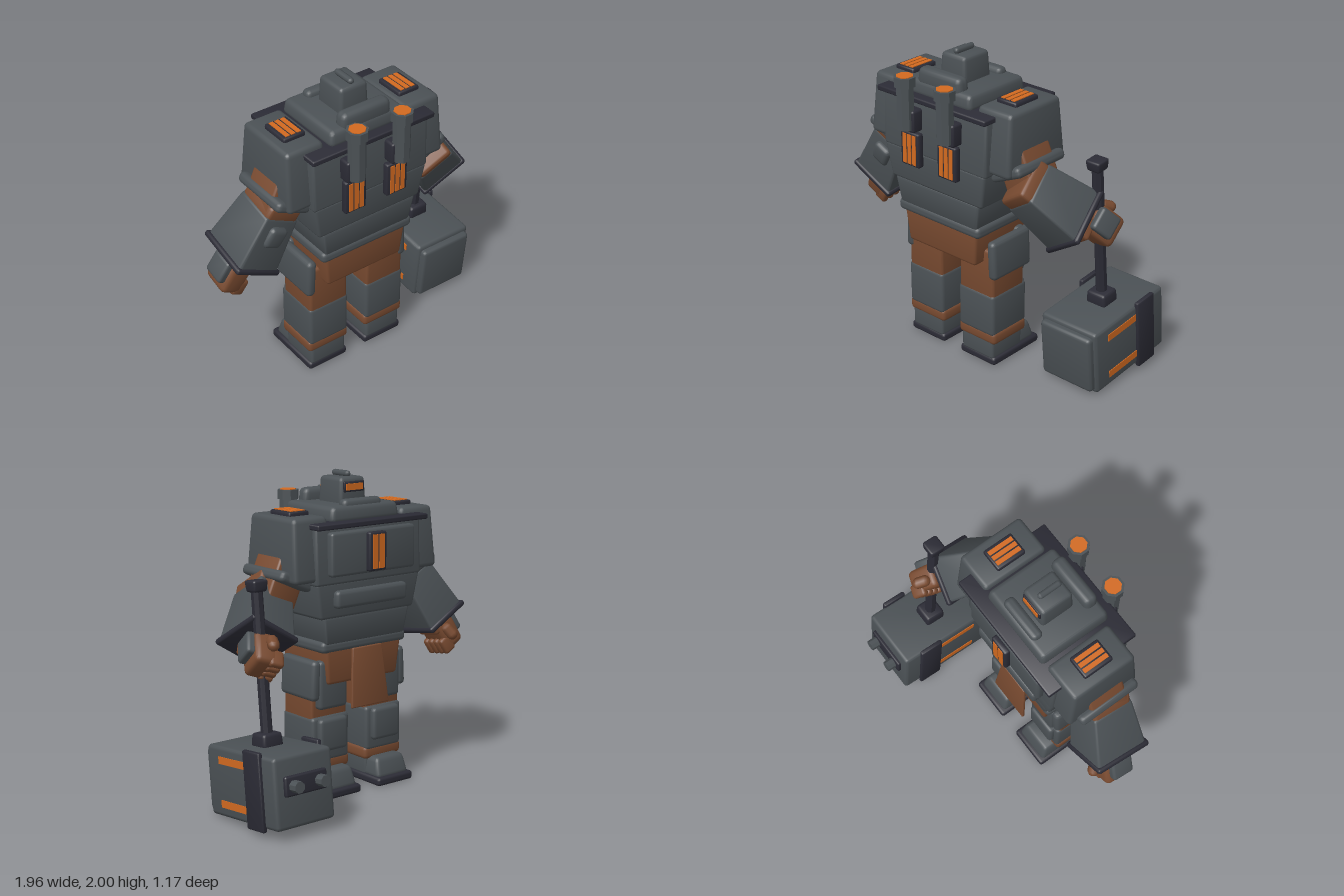
import * as THREE from 'three';
import { RoundedBoxGeometry } from 'three/addons/geometries/RoundedBoxGeometry.js';
import { toCreasedNormals } from 'three/addons/utils/BufferGeometryUtils.js';

const mat = (name, color) => {
  const m = new THREE.MeshStandardMaterial({ color });
  m.name = name;
  return m;
};

export function createModel() {
  const steel = mat('steel grey', 0x4b5155);
  const dark = mat('dark iron', 0x2b2b35);
  const leather = mat('brown leather', 0x784a30);
  const glow = mat('orange glow', 0xd26a20);

  const model = new THREE.Group();
  model.name = 'armouredRobot';

  const group = (parent, name, x = 0, y = 0, z = 0) => {
    const g = new THREE.Group();
    g.name = name;
    g.position.set(x, y, z);
    parent.add(g);
    return g;
  };
  const add = (parent, name, geo, material, x = 0, y = 0, z = 0) => {
    const m = new THREE.Mesh(geo, material);
    m.name = name;
    m.position.set(x, y, z);
    parent.add(m);
    return m;
  };

  // Bevelled block given by its bounds; the bottom is scaled by (bx, bz), the top by (tx, tz)
  const block = (parent, name, material, X, Y, Z, { r = 0.02, bx = 1, bz = 1, tx = 1, tz = 1 } = {}) => {
    const w = X[1] - X[0], h = Y[1] - Y[0], d = Z[1] - Z[0];
    const geo = new RoundedBoxGeometry(w, h, d, 2, Math.min(r, w * 0.45, h * 0.45, d * 0.45));
    const p = geo.attributes.position;
    for (let i = 0; i < p.count; i++) {
      const t = p.getY(i) / h + 0.5;
      p.setX(i, p.getX(i) * (bx + (tx - bx) * t));
      p.setZ(i, p.getZ(i) * (bz + (tz - bz) * t));
    }
    return add(parent, name, toCreasedNormals(geo, 0.6), material,
      (X[0] + X[1]) / 2, (Y[0] + Y[1]) / 2, (Z[0] + Z[1]) / 2);
  };
  // Block centred on the parent's x and z axes
  const mid = (parent, name, material, w, y0, y1, d, opt) =>
    block(parent, name, material, [-w / 2, w / 2], [y0, y1], [-d / 2, d / 2], opt);
  const prism = (r0, r1, h) => {
    const g = new THREE.CylinderGeometry(r0, r1, h, 8);
    g.rotateY(Math.PI / 8);
    return toCreasedNormals(g, 0.4);
  };

  // Framed vent with glowing slats, facing its own +z
  const vent = (parent, name, x, y, z, w, h, n = 3) => {
    const g = group(parent, name, x, y, z);
    block(g, 'ventFrame', dark, [-w / 2, w / 2], [-h / 2, h / 2], [-0.025, 0.02], { r: 0.012 });
    const pitch = (w - 0.035) / n;
    for (let i = 0; i < n; i++)
      add(g, 'ventSlat', new THREE.BoxGeometry(pitch - 0.01, h - 0.03, 0.008), glow, (i - (n - 1) / 2) * pitch, 0, 0.021);
    return g;
  };

  const body = group(model, 'body', -0.1);

  // Torso
  block(body, 'pelvis', leather, [-0.3, 0.3], [0.71, 0.94], [-0.05, 0.41], { bx: 0.92, bz: 0.94 });
  block(body, 'belt', steel, [-0.335, 0.335], [0.915, 0.99], [-0.06, 0.43], { r: 0.03 });
  block(body, 'abdomen', steel, [-0.345, 0.345], [0.97, 1.15], [-0.08, 0.44], { bx: 0.91, bz: 0.94 });
  block(body, 'ribs', steel, [-0.41, 0.41], [1.135, 1.365], [-0.1, 0.455], { bx: 0.9, bz: 0.94 });
  block(body, 'chest', steel, [-0.415, 0.415], [1.345, 1.71], [-0.105, 0.455], { tz: 0.95 });
  block(body, 'collarPlate', dark, [-0.435, 0.435], [1.69, 1.725], [-0.145, 0.48], { r: 0.01 });
  block(body, 'upperBack', steel, [-0.27, 0.27], [1.71, 1.81], [-0.07, 0.42], { r: 0.03, tx: 0.95, tz: 0.95 });
  block(body, 'backRoll', steel, [-0.18, 0.18], [1.76, 1.885], [0.315, 0.405], { r: 0.035, tx: 0.93 });
  block(body, 'frontRoll', steel, [-0.15, 0.15], [1.76, 1.845], [-0.04, 0.035], { r: 0.03 });
  block(body, 'breastPlate', steel, [-0.33, 0.33], [1.4, 1.67], [-0.145, -0.08], { r: 0.02 });
  block(body, 'bellyPlate', steel, [-0.28, 0.28], [1.2, 1.31], [-0.135, -0.06], { r: 0.025 });
  vent(body, 'breastVent', 0, 1.535, -0.16, 0.135, 0.24, 2).rotation.y = Math.PI;

  // Apron hanging at the face side
  const apron = block(body, 'apron', leather, [-0.15, 0.15], [0.555, 0.93], [-0.095, -0.075], { r: 0.008, tx: 0.78 });
  apron.rotation.x = 0.09;

  // Head
  block(body, 'head', steel, [-0.105, 0.105], [1.78, 1.965], [0.055, 0.285], { r: 0.025, tx: 0.9, tz: 0.93 });
  const crest = add(body, 'crest', new THREE.CapsuleGeometry(0.02, 0.12, 4, 8), steel, 0, 1.98, 0.18);
  crest.rotation.x = Math.PI / 2;
  block(body, 'visorFrame', dark, [-0.08, 0.08], [1.875, 1.94], [0.052, 0.08], { r: 0.008 });
  add(body, 'visor', new THREE.BoxGeometry(0.13, 0.04, 0.009), glow, 0, 1.907, 0.05);

  for (const s of [-1, 1]) {
    const side = s < 0 ? 'right' : 'left';

    // Exhaust stack and back vent
    const ex = s * 0.16;
    add(body, side + 'ExhaustStack', prism(0.055, 0.055, 0.28), steel, ex, 1.67, 0.515);
    add(body, side + 'ExhaustCap', prism(0.068, 0.068, 0.06), steel, ex, 1.83, 0.515);
    add(body, side + 'ExhaustGlow', prism(0.052, 0.052, 0.006), glow, ex, 1.862, 0.515);
    block(body, side + 'ExhaustBracket', dark, [ex - 0.066, ex + 0.066], [1.51, 1.65], [0.43, 0.52], { r: 0.015 });
    vent(body, side + 'BackVent', ex + s * -0.01, 1.393, 0.48, 0.15, 0.22);

    // Shoulder
    const sh = group(body, side + 'Shoulder', s * 0.42, 0, 0.165);
    mid(sh, 'shoulderPad', steel, 0.29, 1.37, 1.76, 0.51, { r: 0.03, tx: 0.88, tz: 0.85 });
    vent(sh, 'shoulderVent', -s * 0.01, 1.766, 0.005, 0.15, 0.2).rotation.x = -Math.PI / 2;

    // Upper arm with its collar
    const ua = group(body, side + 'UpperArm', s * 0.5, 1.38, 0.18);
    ua.rotation.z = s * 0.42;
    mid(ua, 'sleeve', leather, 0.22, -0.16, 0.14, 0.25);
    mid(ua, 'sleeveCollar', steel, 0.25, -0.035, 0.035, 0.42, { r: 0.03 });

    // Leg
    const leg = group(body, side + 'Leg', s * 0.215, 0, 0.17);
    block(leg, 'sole', dark, [-0.145, 0.145], [0, 0.055], [-0.28, 0.145], { r: 0.02 });
    block(leg, 'toeCap', steel, [-0.13, 0.13], [0.04, 0.17], [-0.26, 0.03], { r: 0.03, tx: 0.85, tz: 0.72 });
    block(leg, 'boot', steel, [-0.13, 0.13], [0.04, 0.19], [-0.13, 0.145]);
    block(leg, 'bootCuff', leather, [-0.15, 0.15], [0.15, 0.235], [-0.15, 0.15], { r: 0.025 });
    block(leg, 'shin', steel, [-0.15, 0.15], [0.21, 0.5], [-0.155, 0.155], { r: 0.025, bx: 0.96, tx: 0.97 });
    block(leg, 'kneePlate', steel, [-0.11, 0.11], [0.28, 0.49], [-0.19, -0.12], { r: 0.025 });
    block(leg, 'thigh', leather, [-0.14, 0.14], [0.47, 0.8], [-0.135, 0.15], { tx: 0.97 });
    block(leg, 'thighPlate', steel, [-0.11, 0.11], [0.55, 0.86], [-0.185, -0.11], { r: 0.025 });
    block(leg, 'hipPlate', steel, [s * 0.127 - 0.032, s * 0.127 + 0.032], [0.61, 0.865], [-0.18, 0.16], { r: 0.03 })
      .rotation.z = s * 0.05;
  }

  // Forearm pointing from the elbow along a direction (local -y)
  const forearm = (name, from, dir) => {
    const g = group(model, name, ...from);
    g.quaternion.setFromUnitVectors(new THREE.Vector3(0, -1, 0), new THREE.Vector3(...dir).normalize());
    mid(g, 'elbowBand', leather, 0.24, -0.03, 0.07, 0.27, { r: 0.025 });
    mid(g, 'gauntlet', steel, 0.31, -0.36, 0, 0.36, { r: 0.02, tx: 0.8, tz: 0.76 });
    mid(g, 'gauntletRim', dark, 0.34, -0.38, -0.34, 0.385, { r: 0.018 });
    mid(g, 'wrist', leather, 0.16, -0.46, -0.34, 0.18);
    return g;
  };
  // Fist with four fingers, thumb and a guard plate
  const fist = (parent, x, y, z, s) => {
    const h = group(parent, 'hand', x, y, z);
    mid(h, 'palm', leather, 0.16, -0.11, 0.1, 0.2, { r: 0.035, bx: 0.9 });
    for (let i = 0; i < 4; i++)
      block(h, 'finger', leather, [-s * 0.06 - 0.045, -s * 0.06 + 0.045], [-0.12, -0.01],
        [-0.1 + i * 0.05, -0.052 + i * 0.05], { r: 0.02 });
    add(h, 'thumb', new THREE.CapsuleGeometry(0.036, 0.05, 4, 8), leather, -s * 0.02, 0.01, -0.12).rotation.x = 0.4;
    block(h, 'handGuard', steel, [s * 0.09 - 0.03, s * 0.09 + 0.03], [-0.05, 0.1], [-0.075, 0.075], { r: 0.02 });
    return h;
  };

  const rightArm = forearm('rightForearm', [-0.63, 1.3, 0.18], [-0.17, -0.31, -0.06]);
  block(rightArm, 'elbowPad', steel, [-0.065, 0.065], [-0.19, -0.05], [0.1, 0.18], { r: 0.03 });
  fist(rightArm, -0.02, -0.49, 0, -1);

  forearm('leftForearm', [0.46, 1.28, 0.24], [0.2, -0.24, -0.2]);
  const leftHand = fist(model, 0.73, 1.0, -0.1, 1);
  leftHand.rotation.set(0.75, 0, 0.45);

  // Hammer, tilted about x; origin at the middle of its head
  const hammer = group(model, 'hammer', 0.727, 0.253, -0.17);
  hammer.rotation.x = 0.096;
  block(hammer, 'hammerHead', steel, [-0.21, 0.21], [-0.215, 0.215], [-0.34, 0.33], { r: 0.025 });
  block(hammer, 'strikingFace', steel, [-0.19, 0.19], [-0.195, 0.185], [0.3, 0.37], { r: 0.025 });
  block(hammer, 'rearPlate', dark, [-0.15, 0.15], [-0.02, 0.1], [-0.362, -0.32], { r: 0.012 });
  for (const s of [-1, 1]) {
    const bolt = add(hammer, 'rearBolt', prism(0.036, 0.036, 0.08), steel, s * 0.093, 0.04, -0.38);
    bolt.rotation.x = Math.PI / 2;
    block(hammer, 'sideBand', dark, [s * 0.214 - 0.016, s * 0.214 + 0.016], [-0.235, 0.235], [-0.225, -0.06], { r: 0.012 });
    for (const t of [-1, 1])
      add(hammer, 'sideStripe', new THREE.BoxGeometry(0.009, 0.045, 0.28), glow, s * 0.21, t * 0.133, 0.07);
  }
  block(hammer, 'handleSocket', dark, [-0.073, 0.073], [0.2, 0.29], [-0.07, 0.07], { r: 0.02, tx: 0.92, tz: 0.92 });
  add(hammer, 'handle', prism(0.036, 0.036, 0.95), dark, 0, 0.69, 0);
  block(hammer, 'pommel', dark, [-0.053, 0.053], [1.12, 1.19], [-0.053, 0.053], { r: 0.015, bx: 0.85, bz: 0.85 });

  return model;
}
